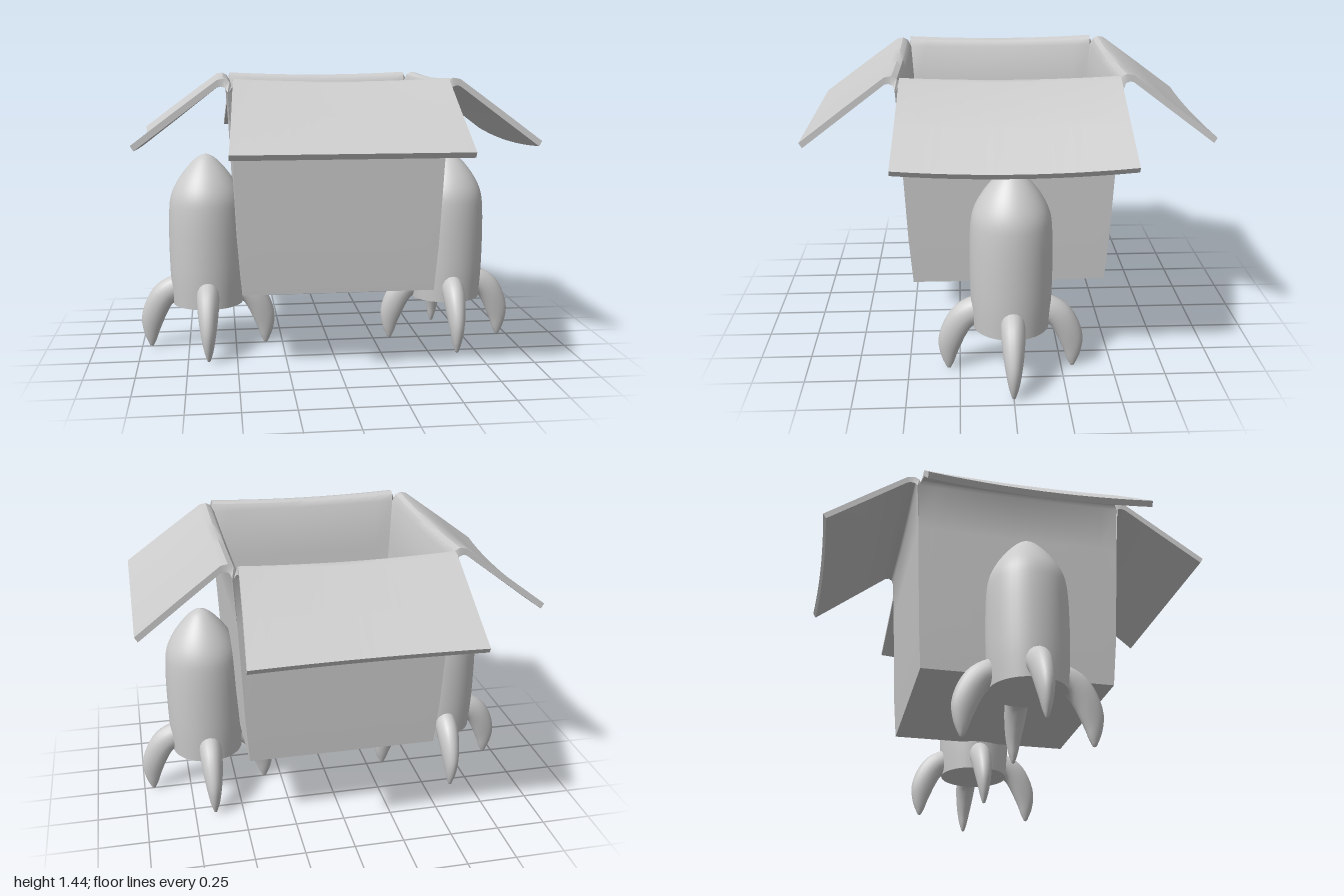
import * as THREE from 'three';
import { toCreasedNormals } from 'three/addons/utils/BufferGeometryUtils.js';

const grey = new THREE.MeshStandardMaterial({ color: 0xcccccc });

function mesh(name, geometry) {
  const m = new THREE.Mesh(geometry, grey);
  m.name = name;
  return m;
}

function buildGeometry(positions, index) {
  const g = new THREE.BufferGeometry();
  g.setAttribute('position', new THREE.Float32BufferAttribute(positions, 3));
  g.setIndex(index);
  g.computeVertexNormals();
  return g;
}

// Cardboard section from floor to flap tip:
// outer [distance, height, half width], inner [distance, height, half width], sag
const section = [
  [[0.475, 0.39, 0.475], [0.42, 0.39, 0.42], 0],
  [[0.492, 0.62, 0.492], [0.438, 0.62, 0.438], 0],
  [[0.515, 1.13, 0.515], [0.485, 1.13, 0.485], 0],
  [[0.53, 1.375, 0.525], [0.502, 1.39, 0.502], 0.006],
  [[0.54, 1.395, 0.512], [0.52, 1.425, 0.505], 0.012],
  [[0.56, 1.402, 0.506], [0.545, 1.438, 0.505], 0.014],
  [[0.578, 1.398, 0.506], [0.578, 1.432, 0.506], 0.014],
  [[0.77, 1.255, 0.52], [0.782, 1.283, 0.52], 0.012],
  [[0.968, 1.108, 0.536], [0.983, 1.133, 0.536], 0]
];

// One wall with its folded-out flap; notch and drop bend the flap's free edge
function panelGeometry(notch, drop) {
  const steps = 12, n = section.length, ring = 2 * n;
  const loop = [
    ...section.map(([o, , sag], k) => ({ p: o, sag, k })),
    ...section.map(([, i, sag], k) => ({ p: i, sag, k })).reverse()
  ];
  const pos = [], idx = [];
  for (let j = 0; j <= steps; j++) {
    const t = -1 + (2 * j) / steps, bow = 1 - t * t;
    for (const { p: [r, y, w], sag, k } of loop) {
      const tip = k === n - 1 ? 1 : k === n - 2 ? 0.4 : 0;
      pos.push(t * w, y - bow * (sag + drop * tip), r - bow * notch * tip);
    }
  }
  for (let j = 0; j < steps; j++) {
    for (let k = 0; k < ring; k++) {
      const k1 = (k + 1) % ring;
      const a = j * ring + k, b = a + ring, c = (j + 1) * ring + k1, d = j * ring + k1;
      idx.push(a, b, c, a, c, d);
    }
  }
  // end caps
  const last = steps * ring;
  for (let k = 0; k < n - 1; k++) {
    const o = k, i = ring - 1 - k, i1 = i - 1, o1 = k + 1;
    idx.push(last + o, last + i, last + i1, last + o, last + i1, last + o1);
    idx.push(o, i1, i, o, o1, i1);
  }
  return toCreasedNormals(buildGeometry(pos, idx), 0.6);
}

function createBox() {
  const box = new THREE.Group();
  box.name = 'cardboardBox';
  const floor = mesh('floor', new THREE.BoxGeometry(0.85, 0.03, 0.85));
  floor.position.y = 0.405;
  box.add(floor);
  const panels = [
    ['frontWallAndFlap', 0, 0, 0],
    ['leftWallAndFlap', 1, 0, 0.022],
    ['backWallAndFlap', 2, 0.015, 0],
    ['rightWallAndFlap', 3, 0.03, 0.005]
  ];
  for (const [name, turn, notch, drop] of panels) {
    const panel = mesh(name, panelGeometry(notch, drop));
    panel.rotation.y = turn * Math.PI / 2;
    box.add(panel);
  }
  return box;
}

// Curved fin lofted from ellipses between its outer and inner edges
function finGeometry() {
  const curve = pts => new THREE.CatmullRomCurve3(pts.map(p => new THREE.Vector3(...p)));
  // the third number is the half thickness
  const outer = curve([
    [0.14, 0.39, 0.055], [0.19, 0.385, 0.058], [0.27, 0.34, 0.055], [0.325, 0.26, 0.047],
    [0.354, 0.16, 0.035], [0.342, 0.07, 0.022], [0.315, 0.006, 0.008]
  ]);
  const inner = curve([
    [0.14, 0.24, 0], [0.185, 0.235, 0], [0.218, 0.185, 0], [0.243, 0.13, 0],
    [0.264, 0.08, 0], [0.28, 0.035, 0], [0.296, 0.004, 0]
  ]);
  const rows = 18, sides = 16, pos = [], idx = [];
  for (let s = 0; s <= rows; s++) {
    const o = outer.getPoint(s / rows), i = inner.getPoint(s / rows);
    for (let k = 0; k < sides; k++) {
      const a = (k / sides) * Math.PI * 2, c = Math.cos(a);
      pos.push((o.x + i.x + (o.x - i.x) * c) / 2, (o.y + i.y + (o.y - i.y) * c) / 2, o.z * Math.sin(a));
    }
  }
  for (let s = 0; s < rows; s++) {
    for (let k = 0; k < sides; k++) {
      const k1 = (k + 1) % sides;
      const a = s * sides + k, b = s * sides + k1, c = b + sides, d = a + sides;
      idx.push(a, b, c, a, c, d);
    }
  }
  // rounded tip
  pos.push(0.305, 0, 0);
  for (let k = 0; k < sides; k++) {
    idx.push(rows * sides + k, rows * sides + ((k + 1) % sides), (rows + 1) * sides);
  }
  return buildGeometry(pos, idx);
}

function createRocket(name) {
  const rocket = new THREE.Group();
  rocket.name = name;
  const profile = new THREE.SplineCurve([
    [0.184, 0.24], [0.195, 0.4], [0.198, 0.6], [0.194, 0.74], [0.182, 0.82],
    [0.15, 0.89], [0.1, 0.96], [0.045, 1.015], [0, 1.035]
  ].map(p => new THREE.Vector2(...p))).getPoints(32);
  profile[profile.length - 1].x = 0;
  rocket.add(mesh('rocketBody', new THREE.LatheGeometry(profile, 40)));

  const base = mesh('rocketBase', new THREE.CircleGeometry(0.184, 40));
  base.rotation.x = Math.PI / 2;
  base.position.y = 0.24;
  rocket.add(base);

  const fin = finGeometry();
  for (let k = 0; k < 4; k++) {
    const m = mesh('rocketFin', fin);
    m.rotation.y = k * Math.PI / 2;
    rocket.add(m);
  }
  return rocket;
}

export function createModel() {
  const model = new THREE.Group();
  model.name = 'rocketBox';
  model.add(createBox());
  for (const [name, side] of [['leftRocket', 1], ['rightRocket', -1]]) {
    const rocket = createRocket(name);
    rocket.position.x = side * 0.645;
    model.add(rocket);
  }
  return model;
}
